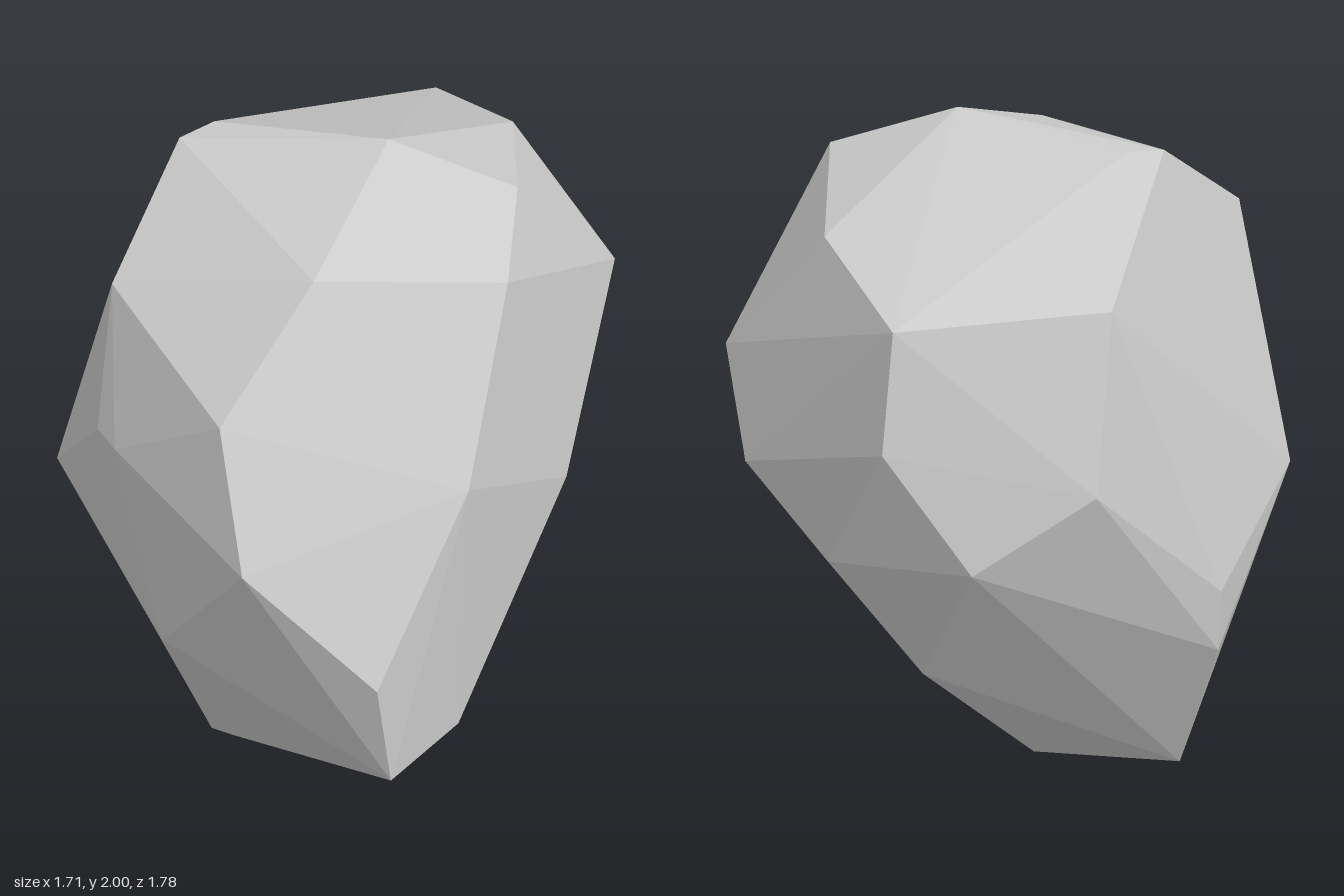
import * as THREE from 'three';
import { ConvexGeometry } from 'three/addons/geometries/ConvexGeometry.js';

// Low-poly boulder: a faceted hull around corner points listed from crown to foot.
export function createModel() {
  const corners = [
    // crown
    [0.11, 2.0, -0.03], [-0.43, 1.92, -0.37], [-0.31, 1.935, -0.39], [0.45, 1.86, 0.16],
    [-0.27, 1.81, 0.32], [0.62, 1.74, -0.31], [0.32, 1.71, 0.41], [-0.75, 1.64, -0.11],
    // upper shoulders
    [0.55, 1.58, -0.76], [-0.14, 1.57, -0.76], [-0.64, 1.48, 0.49], [0.85, 1.34, -0.06],
    // widest belt
    [-0.855, 1.23, 0.04], [-0.84, 1.22, 0.14], [0.6, 1.21, -0.81], [0.08, 1.2, 0.7],
    [-0.65, 1.07, 0.7], [0.85, 1.03, -0.25], [-0.05, 1.03, -0.89],
    // lower flanks
    [-0.84, 0.87, -0.33], [0.56, 0.84, 0.28], [0.34, 0.82, -0.88], [0.7, 0.81, -0.59],
    [-0.29, 0.68, 0.89], [-0.76, 0.62, 0.33], [-0.51, 0.61, -0.68], [0.41, 0.43, -0.62],
    [-0.505, 0.42, -0.665], [-0.23, 0.31, 0.85], [0.07, 0.3, 0.64],
    // foot
    [-0.46, 0.06, 0.14], [-0.01, 0.06, -0.4], [0.02, 0.04, 0.14],
    [-0.48, 0.01, 0.02], [-0.45, 0, -0.46],
  ].map((p) => new THREE.Vector3(...p));

  const rock = new THREE.Mesh(
    new ConvexGeometry(corners),
    new THREE.MeshStandardMaterial({ color: 0xcccccc, flatShading: true })
  );
  rock.name = 'rock';

  const model = new THREE.Group();
  model.name = 'boulder';
  model.add(rock);
  return model;
}
